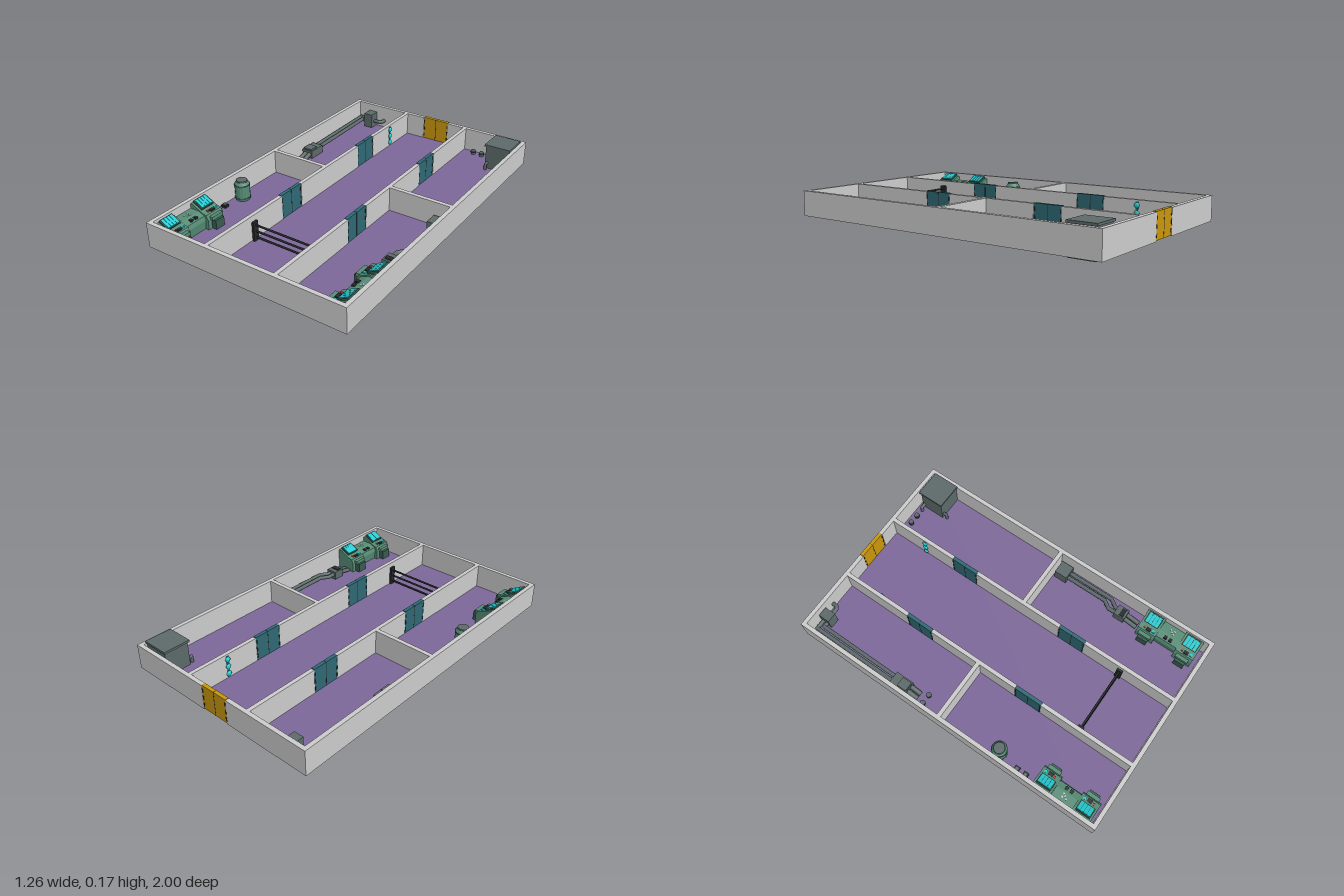
import * as THREE from 'three';

const mat = (name, color) => Object.assign(new THREE.MeshStandardMaterial({ color }), { name });

export function createModel() {
  const model = new THREE.Group();
  model.name = 'deckSection';
  const M = {
    wall: mat('wallGrey', 0xcbcbcb), floor: mat('floorPurple', 0x7b6798),
    green: mat('machineGreen', 0x568c76), darkGreen: mat('darkGreen', 0x365c50),
    cyan: mat('glowCyan', 0x22ccd4), steel: mat('steelGrey', 0x5c6a69),
    black: mat('black', 0x25282c), door: mat('doorTeal', 0x2f6873),
    yellow: mat('doorYellow', 0xc8960c), red: mat('buttonRed', 0xc04438),
  };
  M.floor.side = THREE.DoubleSide;

  const add = (parent, name, geo, m, x = 0, y = 0, z = 0) => {
    const mesh = new THREE.Mesh(geo, m);
    mesh.name = name;
    mesh.position.set(x, y, z);
    parent.add(mesh);
    return mesh;
  };
  // box given by its minimum and maximum corners
  const box = (parent, name, m, x0, x1, y0, y1, z0, z1) =>
    add(parent, name, new THREE.BoxGeometry(x1 - x0, y1 - y0, z1 - z0), m,
      (x0 + x1) / 2, (y0 + y1) / 2, (z0 + z1) / 2);
  const cyl = (parent, name, m, r, h, x, y, z, sides = 12) =>
    add(parent, name, new THREE.CylinderGeometry(r, r, h, sides), m, x, y + h / 2, z);
  const group = (name, x = 0, y = 0, z = 0) => {
    const g = new THREE.Group();
    g.name = name;
    g.position.set(x, y, z);
    model.add(g);
    return g;
  };

  // Floor
  const floor = add(model, 'floor', new THREE.PlaneGeometry(1.22, 1.96), M.floor, 0, 0.014, 0);
  floor.rotation.x = -Math.PI / 2;

  // Walls, with gaps left for the doors
  const B = 0.01, T = 0.16;
  const wall = (name, x0, x1, z0, z1) => box(model, name, M.wall, x0, x1, B, T, z0, z1);
  wall('frontWall', -0.63, 0.63, 0.975, 1);
  wall('backWallRight', -0.63, -0.09, -1, -0.975);
  wall('backWallLeft', 0.09, 0.63, -1, -0.975);
  for (const s of [-1, 1]) {
    const x = s < 0 ? -0.63 : 0.605;
    wall('sideWall', x, x + 0.025, -0.975, 0.975);
    const xi = s < 0 ? -0.24 : 0.2;
    for (const [a, b] of [[-0.975, -0.535], [-0.36, 0.22], [0.395, 0.975]])
      wall('corridorWall', xi, xi + 0.024, a, b);
    if (s < 0) wall('crossWall', -0.605, -0.24, -0.045, -0.02);
    else wall('crossWall', 0.224, 0.605, -0.045, -0.02);
  }

  // Double sliding doors, built along local x
  const door = (name, m, width, x, z, turn) => {
    const g = group(name, x, 0, z);
    g.rotation.y = turn;
    const h = width / 2;
    for (const s of [-1, 1]) {
      const c = s * h / 2;
      box(g, 'doorLeaf', m, c - h / 2 + 0.001, c + h / 2 - 0.001, 0.015, 0.163, -0.011, 0.011);
      for (let i = 0; i < 3; i++) // edge clamps
        box(g, 'doorClamp', M.black, s * (h - 0.005) - 0.004, s * (h - 0.005) + 0.004,
          0.03 + i * 0.045, 0.052 + i * 0.045, -0.013, 0.013);
    }
    box(g, 'doorSeam', M.black, -0.002, 0.002, 0.015, 0.162, -0.0115, 0.0115);
  };
  door('backDoor', M.yellow, 0.18, 0, -0.988, 0);
  for (const x of [-0.229, 0.211])
    for (const z of [-0.447, 0.308]) door('roomDoor', M.door, 0.175, x, z, Math.PI / 2);

  // Corridor signal lights, three to a wall
  for (const [x, s] of [[-0.216, 1], [0.2, -1]]) {
    const g = group('signalLights', x, 0, -0.74);
    box(g, 'lightStrip', M.door, -0.003, 0.003, 0.02, 0.15, -0.008, 0.008);
    for (const y of [0.04, 0.085, 0.13]) {
      const lamp = add(g, 'lamp', new THREE.SphereGeometry(0.016, 10, 8), M.cyan, s * 0.003, y, 0);
      lamp.scale.x = 0.6;
    }
  }

  // Barrier across the corridor
  const barrier = group('barrier', -0.005, 0, 0.64);
  for (const s of [-1, 1]) {
    box(barrier, 'barrierPost', M.black, s * 0.199 - 0.007, s * 0.199 + 0.007, 0.004, 0.13, -0.018, 0.018);
  }
  for (const y of [0.035, 0.072, 0.11]) {
    const rod = add(barrier, 'barrierRod', new THREE.CylinderGeometry(0.006, 0.006, 0.39, 8), M.black, 0, y, 0);
    rod.rotation.z = Math.PI / 2;
  }

  // Control consoles: local +x points away from the wall
  const extrude = (pts, w) => {
    const shape = new THREE.Shape(pts.map(p => new THREE.Vector2(...p)));
    return new THREE.ExtrudeGeometry(shape, { depth: w, bevelEnabled: false }).translate(0, 0, -w / 2);
  };
  const podProfile = [[0, 0.004], [0.125, 0.004], [0.125, 0.075], [0.112, 0.1], [0.082, 0.108], [0.02, 0.14], [0, 0.14]];
  const midProfile = [[0, 0.004], [0.098, 0.004], [0.108, 0.07], [0.1, 0.095], [0.06, 0.112], [0, 0.112]];
  const makeConsole = (x, z, turn) => {
    const g = group('console', x, 0, z);
    g.rotation.y = turn;
    add(g, 'consoleDesk', extrude(midProfile, 0.17), M.green);
    for (const s of [-1, 1]) {
      const c = s * 0.125;
      add(g, 'consolePod', extrude(podProfile, 0.115), M.green, 0, 0, c);
      box(g, 'podFoot', M.darkGreen, 0.12, 0.157, 0.012, 0.07, c - 0.032, c + 0.032);
      box(g, 'podPad', M.green, 0.12, 0.142, 0.07, 0.09, c - 0.04, c + 0.04);
      // tilted monitor
      const monitor = new THREE.Group();
      monitor.name = 'monitor';
      monitor.position.set(0.042, 0.135, c);
      monitor.rotation.z = -0.48;
      g.add(monitor);
      box(monitor, 'monitorFrame', M.darkGreen, -0.036, 0.034, -0.006, 0.004, -0.045, 0.045);
      for (let i = 0; i < 4; i++)
        box(monitor, 'screenBand', M.cyan, -0.031, 0.029, 0.004, 0.008, -0.04 + i * 0.02, -0.022 + i * 0.02);
      // keys
      box(g, 'keyPanel', M.black, 0.086, 0.106, 0.1, 0.11, c - 0.018, c + 0.012);
      box(g, 'redKey', M.red, 0.086, 0.1, 0.1, 0.112, c + 0.018, c + 0.028);
      box(g, 'cyanKey', M.cyan, 0.086, 0.102, 0.1, 0.111, c - 0.042, c - 0.026);
      box(g, 'deskKeys', M.black, 0.072, 0.092, 0.094, 0.109, s * 0.016 - 0.01, s * 0.016 + 0.01);
    }
    for (const [dx, dz] of [[0.024, -0.012], [0.036, 0], [0.024, 0.012], [0.044, -0.012]])
      box(g, 'whiteKey', M.wall, dx, dx + 0.009, 0.11, 0.115, dz - 0.0045, dz + 0.0045);
  };
  makeConsole(-0.605, 0.775, 0);
  makeConsole(0.605, 0.765, Math.PI);

  // Storage tank
  const tank = group('tank', -0.558, 0, 0.34);
  const tankPts = [[0, 0.004], [0.036, 0.004], [0.044, 0.02], [0.044, 0.115], [0.034, 0.13], [0, 0.13]];
  const body = new THREE.LatheGeometry(tankPts.map(p => new THREE.Vector2(...p)), 16).toNonIndexed();
  body.computeVertexNormals();
  add(tank, 'tankBody', body, M.green);
  for (const y of [0.025, 0.105]) cyl(tank, 'tankBand', M.darkGreen, 0.046, 0.008, 0, y, 0, 16);
  cyl(tank, 'tankLid', M.steel, 0.032, 0.008, 0, 0.13, 0, 16);

  // Pipe runs
  const pipe = (parent, pts, r = 0.012) => {
    const path = new THREE.CurvePath();
    const v = pts.map(p => new THREE.Vector3(...p));
    for (let i = 1; i < v.length; i++) path.add(new THREE.LineCurve3(v[i - 1], v[i]));
    for (const c of path.curves) {
      const len = c.getLength();
      const m = add(parent, 'pipe', new THREE.CylinderGeometry(r, r, len, 10), M.steel);
      m.position.copy(c.getPoint(0.5));
      m.quaternion.setFromUnitVectors(new THREE.Vector3(0, 1, 0), c.getTangent(0));
    }
    for (const p of v.slice(1, -1)) add(parent, 'pipeElbow', new THREE.SphereGeometry(r, 10, 8), M.steel, p.x, p.y, p.z);
  };
  const backPipes = group('backPipes');
  pipe(backPipes, [[-0.51, 0.06, -0.95], [-0.577, 0.06, -0.95], [-0.577, 0.05, -0.38]]);
  pipe(backPipes, [[-0.51, 0.06, -0.922], [-0.547, 0.06, -0.922], [-0.547, 0.05, -0.38]]);
  pipe(backPipes, [[-0.47, 0.06, -0.935], [-0.42, 0.06, -0.935], [-0.405, 0.06, -0.95], [-0.405, 0.06, -0.976]]);
  box(backPipes, 'valveBox', M.steel, -0.52, -0.46, 0.02, 0.115, -0.97, -0.9);
  box(backPipes, 'junctionBox', M.steel, -0.595, -0.522, 0.02, 0.07, -0.4, -0.285);
  box(backPipes, 'junctionCap', M.steel, -0.588, -0.53, 0.07, 0.08, -0.35, -0.29);
  for (const x of [-0.574, -0.542]) pipe(backPipes, [[x, 0.045, -0.29], [x, 0.026, -0.22]], 0.014);

  const frontPipes = group('frontPipes');
  box(frontPipes, 'pumpBox', M.steel, 0.515, 0.597, 0.002, 0.085, -0.01, 0.07);
  for (const d of [0, 0.03]) {
    pipe(frontPipes, [[0.541 + d, 0.05, 0.06], [0.541 + d, 0.05, 0.33 + d], [0.51 + d, 0.05, 0.375 + d], [0.51 + d, 0.05, 0.44]]);
    pipe(frontPipes, [[0.511 + d, 0.045, 0.48], [0.511 + d, 0.026, 0.57]], 0.013);
  }
  box(frontPipes, 'junctionBox', M.steel, 0.492, 0.56, 0.02, 0.072, 0.42, 0.49);
  box(frontPipes, 'junctionCap', M.black, 0.5, 0.552, 0.072, 0.076, 0.45, 0.478);

  // Generator cabinet with overhanging lid
  const cabinet = group('cabinet');
  box(cabinet, 'cabinetBody', M.steel, 0.448, 0.604, 0, 0.16, -0.955, -0.805);
  box(cabinet, 'cabinetLid', M.steel, 0.44, 0.606, 0.162, 0.175, -0.962, -0.797);
  box(cabinet, 'cabinetSeal', M.black, 0.45, 0.602, 0.158, 0.163, -0.953, -0.807);
  pipe(cabinet, [[0.45, 0.05, -0.94], [0.416, 0.05, -0.94], [0.416, 0.004, -0.94]], 0.01);
  pipe(cabinet, [[0.462, 0.05, -0.81], [0.462, 0.05, -0.782], [0.462, 0.01, -0.782]], 0.009);

  // Floor stubs and sockets
  for (const [x, z] of [[-0.58, -0.18], [-0.522, -0.18], [0.304, -0.94], [0.362, -0.94]]) {
    cyl(model, 'floorStub', M.steel, 0.015, 0.03, x, 0.008, z);
    cyl(model, 'stubCollar', M.black, 0.017, 0.006, x, 0.026, z);
  }
  for (const z of [0.472, 0.53]) {
    box(model, 'floorSocket', M.black, -0.595, -0.563, 0.012, 0.028, z - 0.016, z + 0.016);
    box(model, 'socketCap', M.steel, -0.588, -0.57, 0.028, 0.032, z - 0.009, z + 0.009);
  }
  return model;
}
